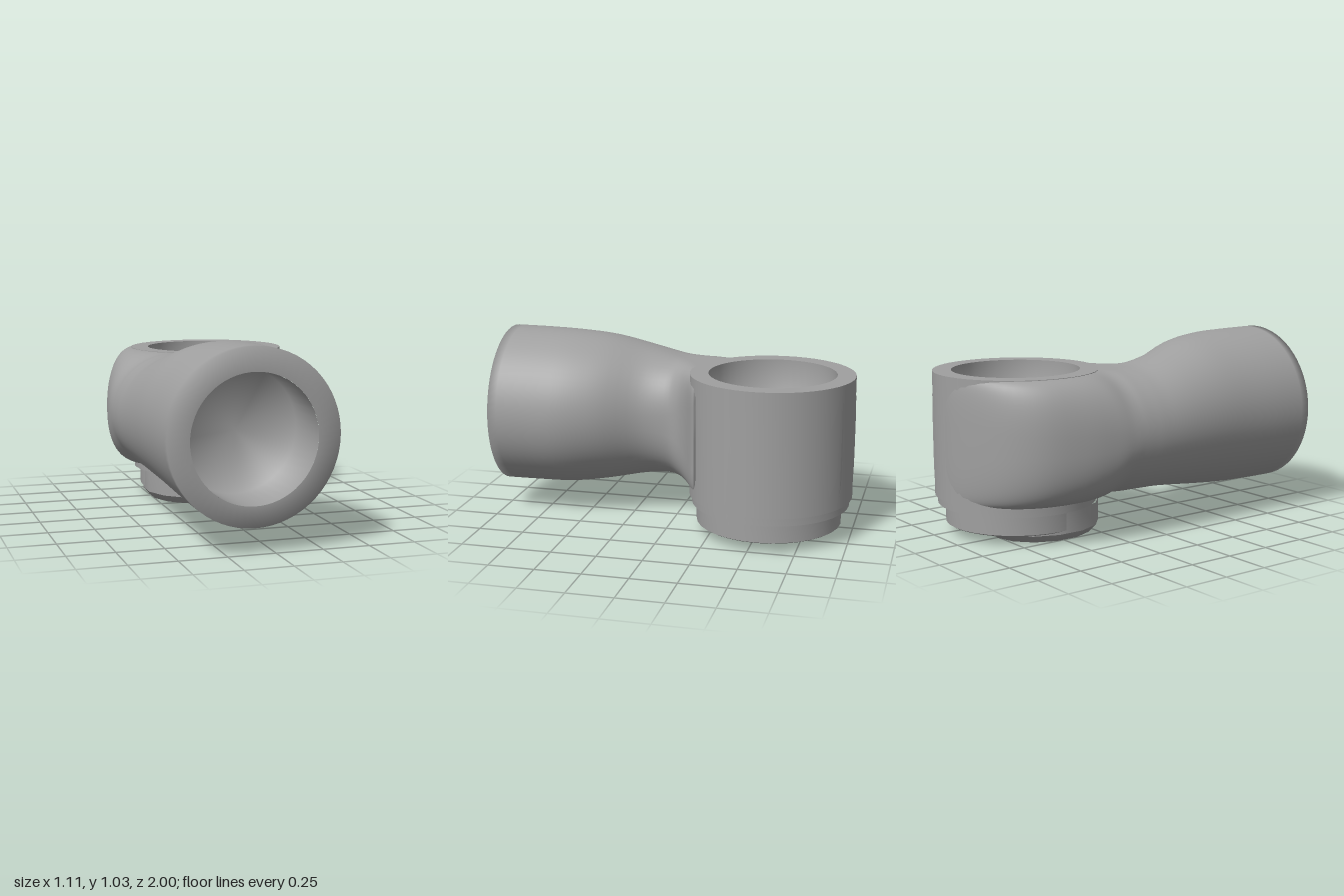
import * as THREE from 'three';
import { toCreasedNormals } from 'three/addons/utils/BufferGeometryUtils.js';

const CX = 0.11, CZ = -0.555; // axis of the upright socket
const BX = -0.11, BY = 0.572; // axis of the front bore

export function createModel() {
  const group = new THREE.Group();
  group.name = 'pipeElbow';
  const grey = new THREE.MeshStandardMaterial({ color: 0xa0a0a0 });
  grey.name = 'grey';
  const add = (name, geometry) => {
    const mesh = new THREE.Mesh(geometry, grey);
    mesh.name = name;
    group.add(mesh);
    return mesh;
  };
  const lathe = (pts, seg = 48) => new THREE.LatheGeometry(pts.map(p => new THREE.Vector2(...p)), seg);

  // upright socket: outer wall and flat rim
  add('socketWall', toCreasedNormals(lathe([[0.40, 0.21], [0.445, 0.21], [0.445, 0.88], [0.345, 0.88]]), 0.6))
    .position.set(CX, 0, CZ);
  // blind hole in its top, softly shaded into its floor
  add('socketHole', lathe([[0.345, 0.88], [0.345, 0.56], [0, 0.56]]))
    .position.set(CX, 0, CZ);

  // curved arm: each row is inner x, z; middle x, z; outer x, z; bottom; top; inner roundness
  const rows = [
    [0.335, 1, BX, 1, -0.555, 1, 0.133, 1.026, 1],
    [0.335, 0.8, BX, 0.8, -0.553, 0.8, 0.135, 1.024, 1],
    [0.33, 0.6, BX, 0.6, -0.55, 0.6, 0.142, 1.017, 1],
    [0.27, 0.4, -0.14, 0.4, -0.55, 0.4, 0.165, 0.993, 1],
    [0.16, 0.2, -0.19, 0.2, -0.55, 0.2, 0.195, 0.938, 0.95],
    [0.13, 0.05, -0.21, 0.06, -0.55, 0.07, 0.21, 0.9, 0.8],
    [0.15, -0.03, -0.21, -0.01, -0.55, 0, 0.212, 0.886, 0.6],
    [0.225, -0.098, -0.208, -0.07, -0.55, -0.06, 0.213, 0.881, 0.4],
    [0.365, -0.19, -0.205, -0.12, -0.549, -0.11, 0.213, 0.879, 0.25],
    [0.05, -0.178, -0.2, -0.17, -0.548, -0.17, 0.213, 0.879, 0.3],
  ];
  // the arm wraps round the socket wall and fades out behind it
  const wrap = [
    [-46, -0.546, -0.24], [-22, -0.538, -0.34], [-3, -0.503, -0.52],
    [18, -0.425, -0.73], [40, -0.285, -0.88], [66, -0.08, -0.973], [90, 0.1, -1], [116, 0.308, -0.957],
  ];
  for (const [deg, bx, bz] of wrap) {
    const a = deg * Math.PI / 180;
    const at = r => [CX - r * Math.cos(a), CZ - r * Math.sin(a)];
    rows.push([...at(0.385), ...at(0.415), bx, bz, 0.213, 0.879, 0.5]);
  }
  const curve = f => new THREE.CatmullRomCurve3(rows.map(r => new THREE.Vector3(...f(r))), false, 'catmullrom');
  const inner = curve(r => [r[0], r[8], r[1]]);
  const middle = curve(r => [r[2], r[6], r[3]]);
  const outer = curve(r => [r[4], r[7], r[5]]);

  const N = 64, STEPS = (rows.length - 1) * 4;
  const position = [], index = [];
  // front lip starts at the edge of the bore
  for (let j = 0; j < N; j++) {
    const t = j / N * Math.PI * 2;
    position.push(BX - 0.33 * Math.cos(t), BY + 0.33 * Math.sin(t), 1);
  }
  const power = (v, e) => Math.sign(v) * Math.pow(Math.abs(v), e);
  for (let i = 0; i <= STEPS; i++) {
    const u = i / STEPS;
    const A = inner.getPoint(u), M = middle.getPoint(u), B = outer.getPoint(u);
    const yc = (M.y + B.y) / 2, h = (B.y - M.y) / 2;
    // the outer side grows squarer as it fades into the socket
    const outerRoundness = 1 - 0.5 * Math.max(0, (u - 0.55) / 0.45);
    for (let j = 0; j < N; j++) {
      const t = j / N * Math.PI * 2, c = Math.cos(t), s = Math.sin(t);
      const side = c > 0 ? B : A;
      const e = c > 0 ? outerRoundness : A.y;
      const k = Math.abs(power(c, e));
      position.push(M.x + (side.x - M.x) * k, yc + h * power(s, e), M.z + (side.z - M.z) * k);
    }
  }
  for (let i = 0; i <= STEPS; i++) {
    for (let j = 0; j < N; j++) {
      const a = i * N + j, d = i * N + (j + 1) % N, b = a + N, c = d + N;
      index.push(a, d, b, b, d, c);
    }
  }
  const arm = new THREE.BufferGeometry();
  arm.setAttribute('position', new THREE.Float32BufferAttribute(position, 3));
  arm.setIndex(index);
  arm.computeVertexNormals();
  add('arm', arm);

  // blind bore in the front of the arm
  const bore = add('armBore', lathe([[0.33, 0], [0.33, -0.32], [0, -0.32]]));
  bore.rotation.x = Math.PI / 2;
  bore.position.set(BX, BY, 1);

  // stepped collar and plug underneath
  add('collar', toCreasedNormals(lathe([[0, 0.165], [0.43, 0.165], [0.43, 0.215]]), 0.6))
    .position.set(CX, 0, CZ);
  add('plug', toCreasedNormals(lathe([[0, 0.053], [0.385, 0.053], [0.397, 0.06], [0.397, 0.17]], 32), 0.6))
    .position.set(CX, 0, CZ + 0.008);
  // offset foot below the plug
  const foot = add('foot', toCreasedNormals(lathe([[0, 0], [0.87, 0], [1, 0.042], [1, 0.165]], 14), 0.6));
  foot.scale.set(0.285, 1, 0.325);
  foot.position.set(-0.005, 0, -0.475);

  return group;
}
